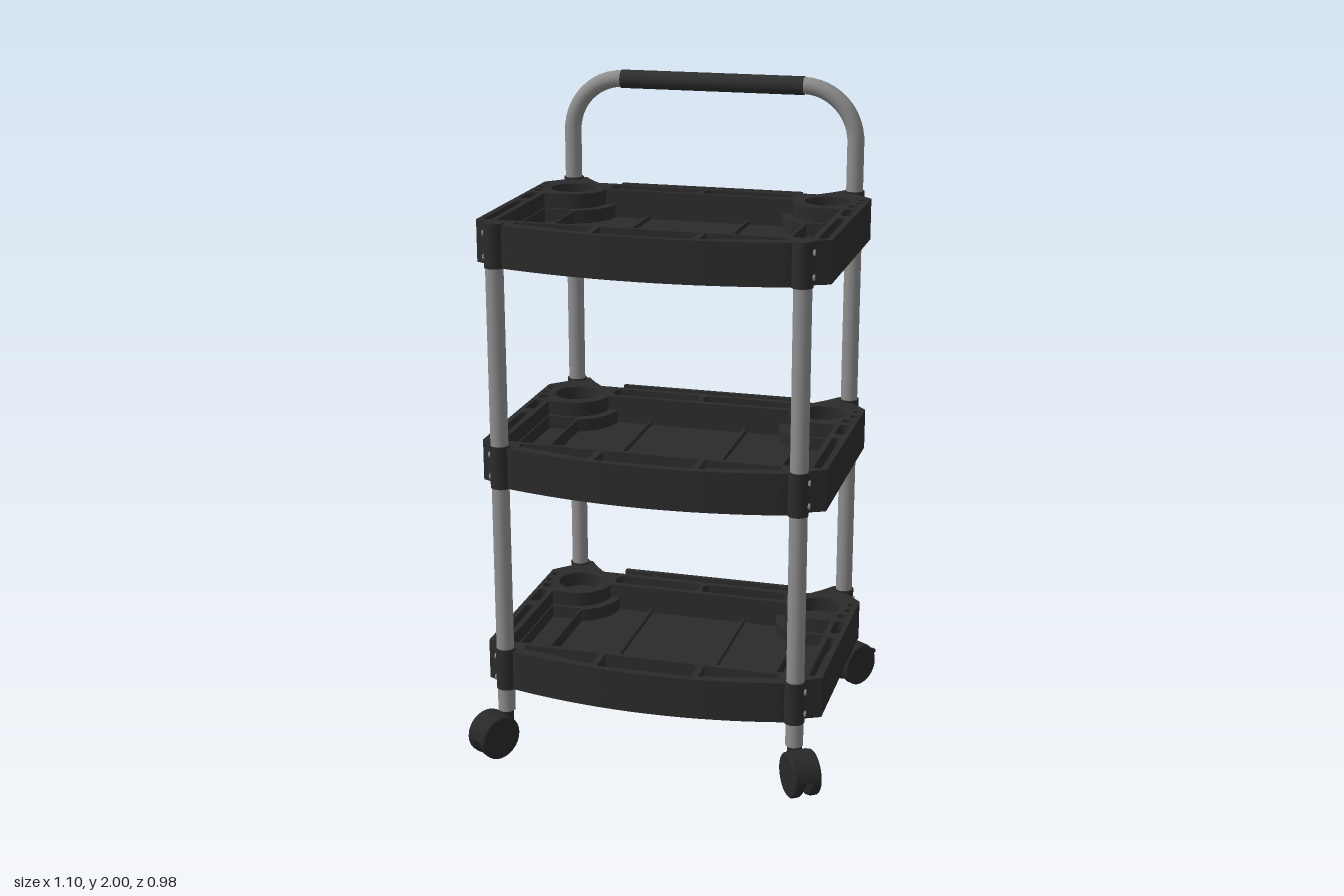
import * as THREE from 'three';
import { toCreasedNormals } from 'three/addons/utils/BufferGeometryUtils.js';

const mat = (name, color) => {
  const m = new THREE.MeshStandardMaterial({ color });
  m.name = name;
  return m;
};

export function createModel() {
  const plastic = mat('black plastic', 0x2b2b2b);
  const metal = mat('grey metal', 0x8e8e8e);
  const rubber = mat('grip rubber', 0x2d302e);
  const wheelMat = mat('wheel black', 0x282828);
  const root = new THREE.Group();
  const sides = [-1, 1];
  const POST_X = 0.452, POST_Z = 0.366, H = 0.125;

  const add = (parent, name, geo, material, x = 0, y = 0, z = 0) => {
    const m = new THREE.Mesh(geo, material);
    m.name = name;
    m.position.set(x, y, z);
    parent.add(m);
    return m;
  };

  // Plan shapes, drawn as x and z
  const V = (x, z) => new THREE.Vector2(x, z);
  const mirrored = (half) => [...half, ...half.map((p) => V(-p.x, p.y)).reverse()];
  const poly = (pts) => new THREE.Path(pts);
  const rect = (x0, x1, z0, z1) => poly([V(x0, z0), V(x1, z0), V(x1, z1), V(x0, z1)]);
  const circle = (x, z, r) => new THREE.Path().absarc(x, z, r, 0, Math.PI * 2);
  // Slot with rounded corners
  const slot = (x0, x1, z0, z1, r) => {
    const p = new THREE.Path();
    p.absarc(x1 - r, z1 - r, r, 0, Math.PI / 2);
    p.absarc(x0 + r, z1 - r, r, Math.PI / 2, Math.PI);
    p.absarc(x0 + r, z0 + r, r, Math.PI, Math.PI * 1.5);
    p.absarc(x1 - r, z0 + r, r, Math.PI * 1.5, Math.PI * 2);
    p.closePath();
    return p;
  };
  // Arc around a cup holder, from its inner side towards the front
  const cupArc = (r, endAngle) => Array.from({ length: 13 }, (_, i) => {
    const a = Math.PI + (endAngle - Math.PI) * (i / 12);
    return V(0.4 + r * Math.cos(a), -0.207 + r * Math.sin(a));
  });

  // Tray outline: bowed front, angled corners, ears reaching back to the posts
  const bow = new THREE.QuadraticBezierCurve(V(0.42, 0.382), V(0, 0.488), V(-0.42, 0.382));
  const half = [V(0.35, -0.305), V(0.385, -0.345), V(0.415, -0.387), V(0.475, -0.387),
    V(0.465, -0.338), V(0.52, -0.28), V(0.52, 0.318), V(0.475, 0.34)];
  const outline = [...half, ...bow.getPoints(24), ...half.map((p) => V(-p.x, p.y)).reverse()];

  const slab = (holes, y0, y1) => {
    const shape = new THREE.Shape(outline);
    shape.holes.push(...holes);
    const g = new THREE.ExtrudeGeometry(shape, { depth: y1 - y0, bevelEnabled: false, curveSegments: 10 });
    g.rotateX(Math.PI / 2).translate(0, y1, 0);
    return toCreasedNormals(g, 0.6);
  };

  // Lower deck: central well and side pockets
  const well = poly(mirrored([...cupArc(0.135, Math.acos(-0.045 / 0.135)), V(0.355, 0.285)]));
  const lowHoles = [well];
  // Upper deck: wide opening, cup holders, tool slots and front compartments
  const opening = poly(mirrored([...cupArc(0.105, Math.PI / 2), V(0.46, -0.102), V(0.46, 0.31)]));
  const topHoles = [opening, rect(-0.145, 0.145, 0.325, 0.41)];
  for (const s of sides) {
    const span = (a, b) => [Math.min(s * a, s * b), Math.max(s * a, s * b)];
    lowHoles.push(rect(...span(0.362, 0.455), -0.09, 0.285));
    topHoles.push(
      circle(s * 0.4, -0.21, 0.07),
      slot(...span(0.005, 0.29), -0.285, -0.225, 0.022),
      poly([V(s * 0.165, 0.325), V(s * 0.395, 0.325), V(s * 0.395, 0.352), V(s * 0.165, 0.402)]),
      circle(s * 0.5, -0.245, 0.011), circle(s * 0.5, -0.197, 0.012), circle(s * 0.49, -0.148, 0.017),
      slot(...span(0.475, 0.507), -0.108, -0.01, 0.015),
      slot(...span(0.478, 0.502), 0.025, 0.31, 0.01));
  }
  const baseGeo = slab([], 0, 0.04);
  const lowGeo = slab(lowHoles, 0.04, 0.08);
  const topGeo = slab(topHoles, 0.08, H);
  const socketGeo = new THREE.CylinderGeometry(0.031, 0.031, H + 0.006, 24);
  const screwGeo = new THREE.CylinderGeometry(0.009, 0.009, 0.008, 12).rotateZ(Math.PI / 2);

  for (const [name, y] of [['bottomTray', 0.215], ['middleTray', 0.862], ['topTray', 1.527]]) {
    const tray = new THREE.Group();
    tray.name = name;
    tray.position.y = y;
    root.add(tray);
    add(tray, 'trayBase', baseGeo, plastic);
    add(tray, 'trayLowerDeck', lowGeo, plastic);
    add(tray, 'trayUpperDeck', topGeo, plastic);
    // Narrow holder bar behind the tray
    add(tray, 'rearHolderBar', new THREE.BoxGeometry(0.58, 0.055, 0.016), plastic, 0, H - 0.036, -0.366);
    for (const s of sides) {
      add(tray, 'floorRib', new THREE.BoxGeometry(0.01, 0.016, 0.485), plastic, s * 0.155, 0.046, 0.039);
      const strut = add(tray, 'holderStrut', new THREE.BoxGeometry(0.006, 0.045, 0.09), plastic,
        s * 0.167, H - 0.036, -0.333);
      strut.rotation.y = -s * 0.74;
      for (const f of sides) {
        add(tray, 'postSocket', socketGeo, plastic, s * (f > 0 ? 0.448 : POST_X), H / 2 + 0.002, f * POST_Z);
        for (const h of [0.028, 0.097]) {
          add(tray, 'screw', screwGeo, metal, s * (f > 0 ? 0.479 : 0.483), h, f * POST_Z);
        }
      }
    }
  }
  // The strut leans outward towards the rear bar

  // Front posts
  for (const s of sides) {
    add(root, 'frontPost', new THREE.CylinderGeometry(0.0265, 0.0265, 1.51, 24), metal, s * 0.45, 0.895, POST_Z);
  }

  // Rear posts and handle in one bent tube
  const P = (x, y) => new THREE.Vector3(x, y, -POST_Z);
  const k = 0.074, top = 1.972, bendY = 1.805;
  const path = new THREE.CurvePath();
  path.add(new THREE.LineCurve3(P(-POST_X, 0.14), P(-POST_X, bendY)));
  path.add(new THREE.CubicBezierCurve3(P(-POST_X, bendY), P(-POST_X, top - k), P(-POST_X + k, top), P(-0.285, top)));
  path.add(new THREE.LineCurve3(P(-0.285, top), P(0.285, top)));
  path.add(new THREE.CubicBezierCurve3(P(0.285, top), P(POST_X - k, top), P(POST_X, top - k), P(POST_X, bendY)));
  path.add(new THREE.LineCurve3(P(POST_X, bendY), P(POST_X, 0.14)));
  add(root, 'rearPostsAndHandle', new THREE.TubeGeometry(path, 200, 0.026, 20), metal);
  add(root, 'handleGrip', new THREE.CylinderGeometry(0.0285, 0.0285, 0.58, 24).rotateZ(Math.PI / 2),
    rubber, 0, top - 0.001, -POST_Z);

  // Twin-wheel casters turned outward
  const wheelProfile = [V(0, -0.018), V(0.052, -0.018), V(0.064, -0.012), V(0.068, -0.004),
    V(0.068, 0.014), V(0.064, 0.018), V(0, 0.018)];
  const wheelGeo = toCreasedNormals(new THREE.LatheGeometry(wheelProfile, 28).rotateZ(Math.PI / 2), 0.6);
  for (const sx of sides) for (const sz of sides) {
    const caster = new THREE.Group();
    caster.name = sz > 0 ? 'frontCaster' : 'rearCaster';
    caster.position.set(sx * 0.479, 0.07, sz * 0.408);
    caster.rotation.y = Math.atan2(sx * 0.55, sz * 0.83);
    root.add(caster);
    for (const s of sides) {
      const w = add(caster, 'casterWheel', wheelGeo, wheelMat, s * 0.024, 0, 0);
      if (s > 0) w.rotation.y = Math.PI;
    }
    // Hood over the wheels
    const hood = new THREE.CylinderGeometry(0.071, 0.071, 0.03, 24, 1, false, Math.PI * 0.5, Math.PI);
    hood.rotateZ(Math.PI / 2).rotateX(Math.PI * 0.5);
    add(caster, 'casterAxleBlock', new THREE.CylinderGeometry(0.045, 0.045, 0.03, 20).rotateZ(Math.PI / 2), wheelMat);
    add(caster, 'casterHood', new THREE.CylinderGeometry(0.07, 0.07, 0.056, 24, 1, true, 0, Math.PI)
      .rotateZ(Math.PI / 2), wheelMat).material.side = THREE.DoubleSide;
    add(caster, 'casterStem', new THREE.CylinderGeometry(0.022, 0.022, 0.07, 20), wheelMat, 0, 0.045, -0.05);
    // Brake lever on the rear pair
    if (sz < 0) for (const s of sides) {
      add(caster, 'brakeLever', new THREE.BoxGeometry(0.018, 0.012, 0.035), wheelMat, s * 0.016, 0.022, 0.066);
    }
  }
  return root;
}
